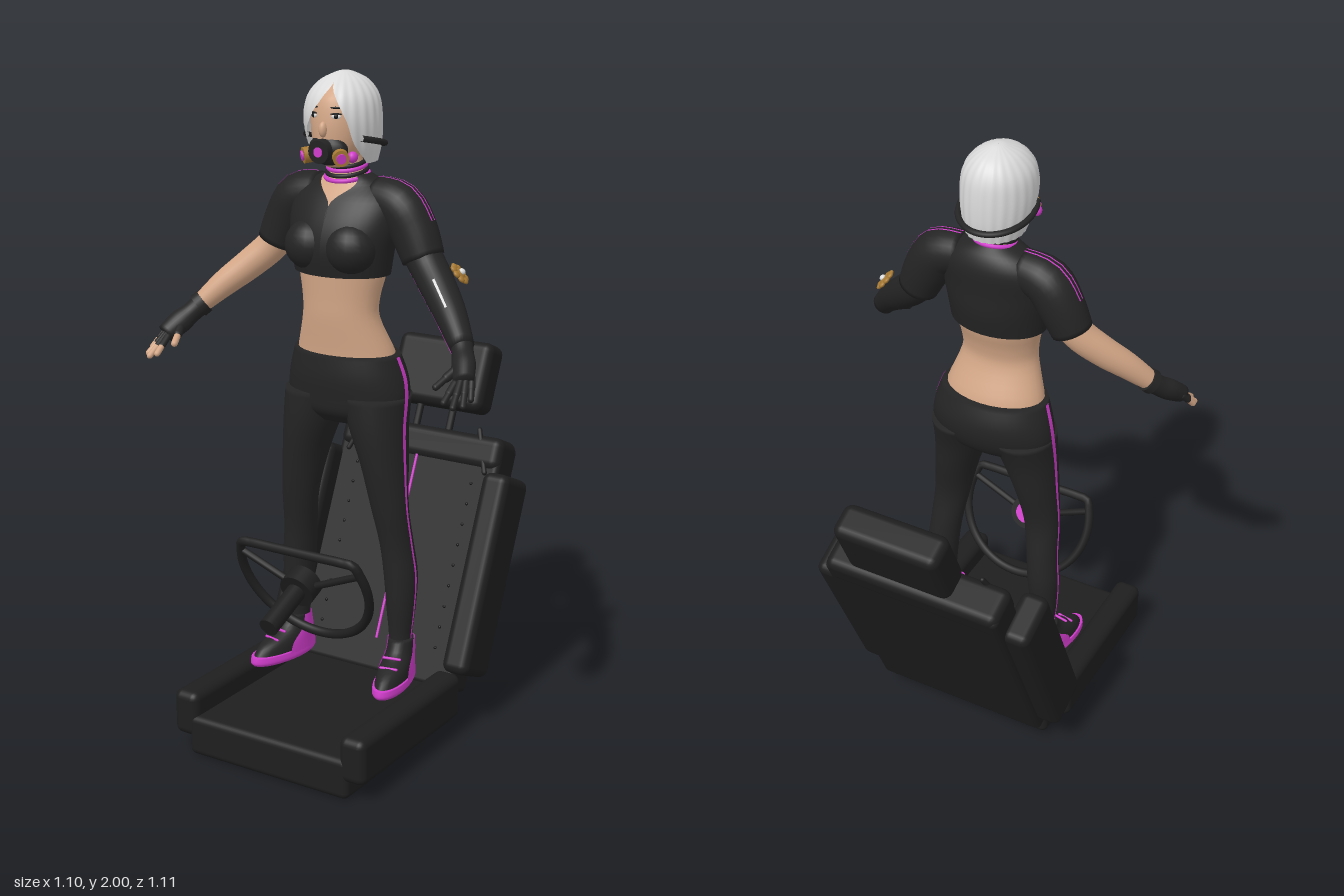
import * as THREE from 'three';
import { RoundedBoxGeometry } from 'three/addons/geometries/RoundedBoxGeometry.js';

const mat = (name, color, side = THREE.FrontSide) => {
  const m = new THREE.MeshStandardMaterial({ color, side });
  m.name = name;
  return m;
};
const V = (x, y, z) => new THREE.Vector3(x, y, z);
const rad = Math.PI / 180;

// Catmull-Rom resampling of cross-sections
function resample(rows, steps) {
  const out = [], n = rows.length;
  for (let k = 0; k <= (n - 1) * steps; k++) {
    const i = Math.min(Math.floor(k / steps), n - 2), t = k / steps - i;
    const [a, b, c, d] = [rows[Math.max(i - 1, 0)], rows[i], rows[i + 1], rows[Math.min(i + 2, n - 1)]];
    out.push(b.map((p, j) => 0.5 * (2 * p + (c[j] - a[j]) * t + (2 * a[j] - 5 * p + 4 * c[j] - d[j]) * t * t
      + (3 * p - a[j] - 3 * c[j] + d[j]) * t * t * t)));
  }
  return out;
}

// Skin over elliptical sections [x, y, z, radiusU, radiusV, fromDeg?, toDeg?]
// flat keeps rings horizontal; otherwise they follow the path
function loft(rows, { flat = true, from, to, grow = 0, ripple = 0, sides = 28, steps = 4 } = {}) {
  const secs = resample(rows, steps), pos = [], idx = [];
  const open = from !== undefined || rows[0].length > 5;
  const cols = open ? sides + 1 : sides;
  secs.forEach((s, i) => {
    let u = V(1, 0, 0), v = V(0, 0, 1);
    if (!flat) {
      const p = secs[Math.max(i - 1, 0)], q = secs[Math.min(i + 1, secs.length - 1)];
      const t = V(q[0] - p[0], q[1] - p[1], q[2] - p[2]).normalize();
      u = t.clone().cross(v).normalize();
      v = u.clone().cross(t);
    }
    const a0 = (from ?? s[5] ?? 0) * rad, a1 = (to ?? s[6] ?? 360) * rad;
    for (let j = 0; j < cols; j++) {
      const a = a0 + (a1 - a0) * j / sides, k = 1 + ripple * Math.sin(a * 22);
      const c = (s[3] + grow) * k * Math.cos(a), d = (s[4] + grow) * k * Math.sin(a);
      pos.push(s[0] + u.x * c + v.x * d, s[1] + u.y * c + v.y * d, s[2] + u.z * c + v.z * d);
    }
  });
  const last = secs.length - 1;
  for (let i = 0; i < last; i++) for (let j = 0; j < sides; j++) {
    const a = i * cols + j, b = i * cols + (j + 1) % cols, c = a + cols, d = b + cols;
    idx.push(a, c, b, b, c, d);
  }
  if (!open) {
    const lo = pos.length / 3;
    pos.push(...secs[0].slice(0, 3), ...secs[last].slice(0, 3));
    for (let j = 0; j < sides; j++) {
      const n = (j + 1) % sides;
      idx.push(lo, j, n, lo + 1, last * cols + n, last * cols + j);
    }
  }
  const g = new THREE.BufferGeometry();
  g.setAttribute('position', new THREE.Float32BufferAttribute(pos, 3));
  g.setIndex(idx);
  g.computeVertexNormals();
  return g;
}

export function createModel() {
  const model = new THREE.Group();
  const cloth = mat('black cloth', 0x242424, THREE.DoubleSide);
  const leather = mat('seat leather', 0x1e1e1e);
  const skin = mat('skin', 0xd3a686);
  const white = mat('silver hair', 0xdadada, THREE.DoubleSide);
  const pink = mat('magenta trim', 0xd03ccb, THREE.DoubleSide);
  const gold = mat('gold', 0xa87a34);
  const dark = mat('eye dark', 0x141414);

  const add = (name, geo, m, parent = model, x = 0, y = 0, z = 0) => {
    const mesh = new THREE.Mesh(geo, m);
    mesh.name = name;
    mesh.position.set(x, y, z);
    parent.add(mesh);
    return mesh;
  };
  const group = (name, x = 0, y = 0, z = 0, parent = model) => {
    const g = new THREE.Group();
    g.name = name;
    g.position.set(x, y, z);
    parent.add(g);
    return g;
  };
  const box = (name, parent, m, x0, x1, y0, y1, z0, z1, r = 0.02) =>
    add(name, new RoundedBoxGeometry(x1 - x0, y1 - y0, z1 - z0, 3, r), m, parent, (x0 + x1) / 2, (y0 + y1) / 2, (z0 + z1) / 2);
  const rod = (name, a, b, r, m, parent = model, round = true) => {
    const d = b.clone().sub(a), l = d.length();
    const mesh = add(name, round ? new THREE.CapsuleGeometry(r, l, 4, 12) : new THREE.CylinderGeometry(r, r, l, 24), m, parent);
    mesh.position.copy(a).addScaledVector(d, 0.5);
    mesh.quaternion.setFromUnitVectors(V(0, 1, 0), d.normalize());
    return mesh;
  };
  const ball = (name, x, y, z, rx, ry, rz, m, parent = model) => {
    const b = add(name, new THREE.SphereGeometry(1, 20, 14), m, parent, x, y, z);
    b.scale.set(rx, ry, rz);
    return b;
  };

  // Seat base
  const seat = group('seat');
  box('seatPan', seat, leather, -0.28, 0.28, 0, 0.125, -0.05, 0.56);
  for (const s of [-1, 1]) {
    box('seatBolster', seat, leather, s * 0.293 - 0.043, s * 0.293 + 0.043, 0.055, 0.195, 0, 0.56, 0.025);
  }

  // Reclined backrest
  const back = group('backrest', 0, 0.1, -0.05, seat);
  back.rotation.x = -24 * rad;
  box('backPanel', back, leather, -0.29, 0.29, 0, 0.78, -0.065, 0.05, 0.018);
  box('backTopRoll', back, leather, -0.29, 0.29, 0.69, 0.795, -0.066, 0.062, 0.03);
  box('headrest', back, leather, -0.17, 0.17, 0.865, 1.09, -0.075, 0.035, 0.03);
  box('backStripe', back, pink, -0.004, 0.004, 0.105, 0.71, 0.047, 0.054, 0.002);
  for (const s of [-1, 1]) {
    box('backBolster', back, leather, s * 0.318 - 0.045, s * 0.318 + 0.045, 0.06, 0.683, -0.05, 0.12, 0.028);
    rod('headrestPost', V(s * 0.06, 0.76, -0.01), V(s * 0.06, 0.9, -0.01), 0.012, leather, back);
    rod('backRim', V(s * 0.25, 0.68, 0.055), V(s * 0.2, 0.81, 0.05), 0.008, leather, back);
    for (let i = 0; i < 9; i++) ball('backStud', s * 0.21, 0.12 + i * 0.065, 0.05, 0.005, 0.005, 0.004, dark, back);
  }

  // Flat-topped steering wheel
  const wheel = group('steeringWheel', 0, 0.551, 0.351);
  wheel.rotation.x = 23.3 * rad;
  const rim = [];
  for (let i = 0; i <= 26; i++) {
    const a = (154 + 232 * i / 26) * rad;
    rim.push(V(0.218 * Math.cos(a), 0.218 * Math.sin(a), 0));
  }
  for (const x of [0.16, 0.08, 0, -0.08, -0.16]) rim.push(V(x, 0.1, 0));
  add('wheelRim', new THREE.TubeGeometry(new THREE.CatmullRomCurve3(rim, true), 90, 0.014, 10, true), leather, wheel);
  for (const s of [-1, 1]) rod('wheelSpoke', V(s * 0.205, 0.06, 0), V(s * 0.03, -0.01, 0.02), 0.011, leather, wheel);
  rod('wheelHub', V(0, -0.01, -0.005), V(0, -0.01, 0.05), 0.055, leather, wheel, false);
  rod('hubCap', V(0, -0.01, -0.012), V(0, -0.01, -0.004), 0.035, pink, wheel, false);
  rod('steeringShaft', V(0, -0.01, 0.03), V(0, -0.01, 0.205), 0.029, leather, wheel, false);

  // Torso, top and hips
  add('torso', loft([
    [0, 1.15, 0.12, 0.163, 0.1], [0, 1.2, 0.12, 0.155, 0.1], [0, 1.3, 0.147, 0.122, 0.083], [0, 1.36, 0.147, 0.122, 0.085],
    [0, 1.43, 0.138, 0.136, 0.097], [0, 1.5, 0.138, 0.145, 0.1], [0, 1.57, 0.13, 0.16, 0.1], [0, 1.64, 0.11, 0.16, 0.088],
    [0, 1.685, 0.1, 0.113, 0.064], [0, 1.715, 0.11, 0.054, 0.046], [0, 1.78, 0.115, 0.042, 0.045]]), skin);
  add('cropTop', loft([
    [0, 1.43, 0.139, 0.15, 0.108, 90, 450], [0, 1.5, 0.138, 0.16, 0.12, 90, 450], [0, 1.57, 0.13, 0.172, 0.113, 90, 450],
    [0, 1.64, 0.11, 0.17, 0.096, 92, 448], [0, 1.685, 0.1, 0.122, 0.071, 118, 422], [0, 1.712, 0.108, 0.066, 0.055, 140, 400]], { sides: 40 }), cloth);
  add('hips', loft([[0, 0.985, 0.12, 0.16, 0.06], [0, 1.02, 0.115, 0.185, 0.1], [0, 1.07, 0.107, 0.198, 0.117],
    [0, 1.13, 0.107, 0.19, 0.123], [0, 1.195, 0.115, 0.17, 0.11]], { sides: 36 }), cloth);

  // Limbs
  const gloveTips = [[0.542, 1.175, 0.345], [0.535, 1.162, 0.375], [0.515, 1.16, 0.395], [0.487, 1.17, 0.395]];
  for (const s of [-1, 1]) {
    const side = s > 0 ? 'left' : 'right', out = s > 0 ? 0 : 180, top = s > 0 ? 180 : 0;
    const at = rows => rows.map(([x, ...r]) => [x * s, ...r]);
    ball(side + 'Bust', s * 0.068, 1.51, 0.2, 0.078, 0.075, 0.072, cloth);

    const leg = at([[0.185, 0.27, 0.115, 0.036, 0.04], [0.185, 0.33, 0.112, 0.034, 0.038], [0.185, 0.42, 0.11, 0.043, 0.047],
      [0.182, 0.52, 0.107, 0.05, 0.054], [0.172, 0.62, 0.115, 0.05, 0.053], [0.158, 0.74, 0.133, 0.057, 0.056],
      [0.138, 0.87, 0.13, 0.068, 0.08], [0.115, 0.98, 0.125, 0.085, 0.098], [0.1, 1.07, 0.11, 0.098, 0.115],
      [0.09, 1.13, 0.107, 0.1, 0.11], [0.085, 1.19, 0.115, 0.086, 0.1]]);
    add(side + 'Leg', loft(leg.slice(0, 9)), cloth);
    add(side + 'LegStripe', loft(leg, { from: out - 4, to: out + 5, grow: 0.003, sides: 2 }), pink);

    // Shoe
    const shoe = group(side + 'Shoe', s * 0.19, 0, 0.12);
    shoe.rotation.y = s * 0.2;
    const upper = [[0, 0.215, 0.055, 0.046, 0.125], [0, 0.25, 0.042, 0.044, 0.105], [0, 0.285, 0.005, 0.039, 0.062], [0, 0.325, -0.005, 0.037, 0.043]];
    add('shoeUpper', loft(upper), cloth, shoe);
    add('shoeHeel', loft(upper, { from: 172, to: 368, grow: 0.004 }), pink, shoe);
    add('shoeSole', loft([[0, 0.195, 0.057, 0.046, 0.122], [0, 0.205, 0.057, 0.051, 0.13], [0, 0.224, 0.056, 0.049, 0.128]]), pink, shoe);
    for (let i = 0; i < 2; i++) rod('shoeLace', V(-0.025, 0.265 + i * 0.02, 0.105 - i * 0.03), V(0.025, 0.265 + i * 0.02, 0.105 - i * 0.03), 0.004, pink, shoe);

    // Arm
    const sleeve = at([[0.09, 1.645, 0.1, 0.06, 0.06], [0.17, 1.625, 0.1, 0.07, 0.07], [0.215, 1.56, 0.1, 0.07, 0.066], [0.25, 1.485, 0.105, 0.062, 0.06]]);
    const arm = at([[0.2, 1.57, 0.1, 0.05, 0.05], [0.26, 1.48, 0.11, 0.048, 0.048], [0.325, 1.415, 0.145, 0.045, 0.045],
      [0.39, 1.355, 0.19, 0.039, 0.039], [0.455, 1.285, 0.24, 0.028, 0.028]]);
    add(side + 'Sleeve', loft(sleeve, { flat: false }), cloth);
    for (const o of [-6, 6]) add(side + 'ShoulderStripe', loft(sleeve.slice(0, 3), { flat: false, from: top + o - 2, to: top + o + 2, grow: 0.003, sides: 2 }), pink);
    add(side + 'Arm', loft(arm, { flat: false, grow: s > 0 ? 0.006 : 0 }), s > 0 ? cloth : skin);

    // Glove and fingers
    add(side + 'Glove', loft(at([[0.445, 1.295, 0.23, 0.033, 0.033], [0.465, 1.27, 0.255, 0.031, 0.03], [0.485, 1.245, 0.285, 0.036, 0.031],
      [0.508, 1.213, 0.325, 0.03, 0.026]]), { flat: false }), cloth);
    gloveTips.forEach(([x, y, z], i) => {
      const a = V(s * (0.522 - i * 0.011), 1.222 - i * 0.004, 0.305 + i * 0.012), b = V(s * x, y, z), mid = a.clone().lerp(b, 0.5);
      rod(side + 'FingerBase', a, mid, 0.0105, cloth);
      rod(side + 'FingerTip', mid, b, 0.009, s > 0 ? cloth : skin);
    });
    rod(side + 'ThumbBase', V(s * 0.475, 1.245, 0.29), V(s * 0.458, 1.22, 0.33), 0.013, cloth);
    rod(side + 'ThumbTip', V(s * 0.458, 1.22, 0.33), V(s * 0.445, 1.2, 0.365), 0.01, s > 0 ? cloth : skin);
    if (s > 0) {
      add('armStripe', loft(arm.slice(1), { flat: false, from: 5, to: 17, grow: 0.009, sides: 2 }), pink);
      add('armSilverStripe', loft(arm.slice(2, 4), { flat: false, from: 118, to: 126, grow: 0.009, sides: 2 }), white);
    } else {
      rod('wristBand', V(-0.438, 1.303, 0.225), V(-0.452, 1.288, 0.238), 0.037, cloth, model, false);
    }
  }

  // Flower ornament on the left elbow
  const flower = group('elbowFlower', 0.373, 1.458, 0.115);
  flower.quaternion.setFromUnitVectors(V(0, 0, 1), V(0.72, 0.66, -0.2).normalize());
  for (let i = 0; i < 8; i++) {
    const a = i * Math.PI / 4;
    ball('petal', 0.024 * Math.cos(a), 0.024 * Math.sin(a), 0, 0.012, 0.012, 0.007, gold, flower);
  }
  ball('flowerCentre', 0, 0, 0, 0.022, 0.022, 0.009, gold, flower);
  ball('pearl', 0, 0, 0.01, 0.01, 0.01, 0.008, white, flower);

  // Head and hair
  add('head', loft([[0, 1.735, 0.165, 0.025, 0.035], [0, 1.76, 0.158, 0.052, 0.068], [0, 1.81, 0.145, 0.076, 0.09],
    [0, 1.87, 0.135, 0.086, 0.1], [0, 1.93, 0.13, 0.08, 0.09], [0, 1.97, 0.128, 0.04, 0.05]]), skin);
  ball('nose', 0, 1.845, 0.236, 0.012, 0.022, 0.014, skin);
  add('hair', loft([[0, 1.745, 0.113, 0.084, 0.095, 165, 375], [0, 1.8, 0.124, 0.1, 0.115, 136, 398], [0, 1.87, 0.133, 0.106, 0.124, 112, 408],
    [0, 1.93, 0.132, 0.097, 0.113, 90, 424], [0, 1.972, 0.128, 0.066, 0.08, 76, 436], [0, 1.996, 0.125, 0.022, 0.028, 75, 435],
    [0, 2, 0.125, 0.001, 0.001, 75, 435]], { sides: 110, ripple: 0.012, steps: 5 }), white);
  for (const s of [-1, 1]) {
    const eye = group(s > 0 ? 'leftEye' : 'rightEye', s * 0.037, 1.882, 0.226);
    eye.rotation.y = s * 0.4;
    ball('eyeWhite', 0, 0, 0, 0.014, 0.007, 0.004, white, eye);
    ball('iris', 0, 0, 0.002, 0.0065, 0.0065, 0.004, dark, eye);
    ball('lash', 0, 0.007, 0.001, 0.017, 0.003, 0.005, dark, eye);
    ball('brow', 0, 0.024, -0.002, 0.017, 0.003, 0.004, dark, eye);
  }

  // Breathing mask with strap
  const mask = group('mask', 0, 1.785, 0.22);
  ball('maskBody', 0, 0.002, -0.01, 0.062, 0.045, 0.035, cloth, mask);
  rod('maskValve', V(0, 0.002, 0.01), V(0, 0, 0.042), 0.033, cloth, mask, false);
  rod('valveDisc', V(0, 0, 0.04), V(0, 0, 0.045), 0.014, pink, mask, false);
  for (const s of [-1, 1]) {
    rod('filterRing', V(s * 0.045, -0.012, 0.0), V(s * 0.064, -0.016, 0.022), 0.023, gold, mask, false);
    rod('filterCore', V(s * 0.064, -0.016, 0.022), V(s * 0.068, -0.017, 0.026), 0.014, pink, mask, false);
    ball('sideFilter', s * 0.08, -0.014, -0.012, 0.014, 0.016, 0.016, pink, mask);
  }
  const strap = [];
  for (let a = -210; a <= 30; a += 15) {
    strap.push(V(0.108 * Math.cos(a * rad), 1.808 + 0.025 * Math.sin(a * rad), 0.122 + 0.121 * Math.sin(a * rad)));
  }
  add('maskStrap', new THREE.TubeGeometry(new THREE.CatmullRomCurve3(strap), 50, 0.009, 8), cloth);

  // Chokers
  [[1.705, 0.062, pink], [1.718, 0.058, cloth], [1.732, 0.055, pink], [1.743, 0.053, cloth]].forEach(([y, r, m]) => {
    const ring = add('choker', new THREE.TorusGeometry(r, 0.0065, 8, 36), m, model, 0, y, 0.114);
    ring.rotation.x = Math.PI / 2 + 0.2;
  });
  return model;
}
